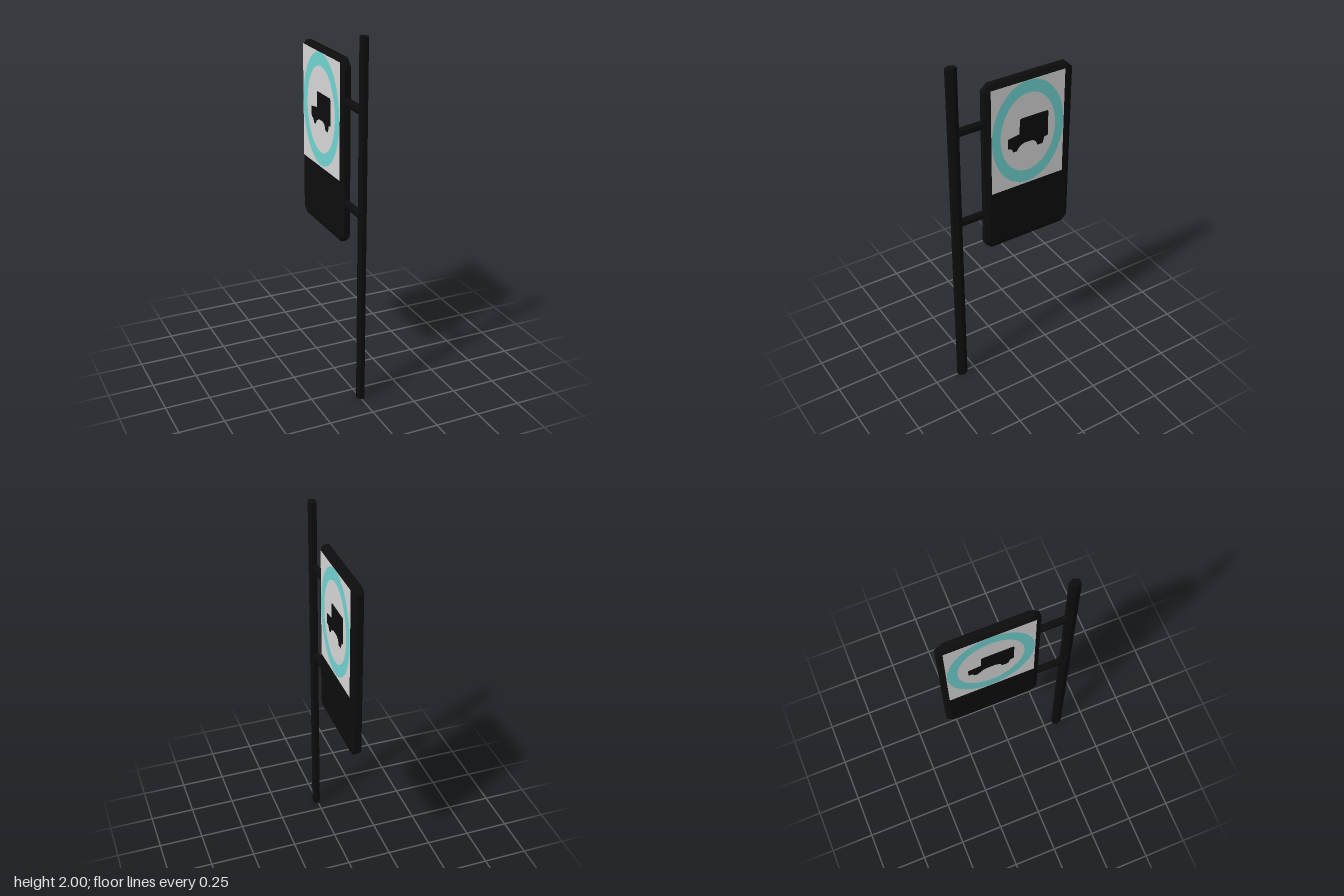
import * as THREE from 'three';

const material = (name, color) => {
  const m = new THREE.MeshStandardMaterial({ color });
  m.name = name;
  return m;
};

export function createModel() {
  const black = material('black metal', 0x0d0d0d);
  const white = material('sign white', 0xd9d9d9);
  const cyan = material('ring cyan', 0x72d6d4);
  const group = new THREE.Group();

  const add = (name, geometry, mat, parent = group) => {
    const mesh = new THREE.Mesh(geometry, mat);
    mesh.name = name;
    parent.add(mesh);
    return mesh;
  };
  const polygon = (points) => new THREE.Shape(points.map(([x, y]) => new THREE.Vector2(x, y)));
  const flat = (geometry) => {
    const g = geometry.toNonIndexed();
    g.computeVertexNormals();
    return g;
  };

  // Six-sided pole
  const pole = new THREE.CylinderGeometry(0.024, 0.024, 2, 6, 1, false, Math.PI / 6);
  pole.scale(1, 1, 1.33);
  pole.translate(0.005, 1, 0.333);
  add('pole', flat(pole), black);

  // Two arms that flare and shift where they meet the pole
  for (const y of [1.63, 1.078]) {
    const arm = new THREE.CylinderGeometry(1, 1, 1, 8, 2, false, Math.PI / 8);
    arm.rotateX(Math.PI / 2);
    const p = arm.attributes.position;
    for (let i = 0; i < p.count; i++) {
      const end = p.getZ(i) > 0.25;
      const z = end ? 0.325 : p.getZ(i) < -0.25 ? 0.14 : 0.29;
      p.setXYZ(i, p.getX(i) * (end ? 0.021 : 0.0175) + (end ? 0.004 : -0.0015),
        p.getY(i) * (end ? 0.029 : 0.025), z);
    }
    add(y > 1.3 ? 'upperArm' : 'lowerArm', flat(arm), black).position.y = y;
  }

  // Bevelled sign case with clipped corners
  const w = 0.2375, h = 0.474, c = 0.02;
  const caseShape = polygon([
    [-w + c, -h], [w - c, -h], [w, -h + c], [w, h - c],
    [w - c, h], [-w + c, h], [-w, h - c], [-w, -h + c],
  ]);
  const board = new THREE.ExtrudeGeometry(caseShape, {
    depth: 0.032, bevelEnabled: true, bevelSize: 0.025, bevelThickness: 0.0133, bevelSegments: 1,
  });
  board.translate(0, 0, -0.016);
  board.rotateY(Math.PI / 2);
  board.translate(-0.0005, 1.352, -0.098);
  add('signCase', board, black);

  // Van outline, in hundredths of a unit
  const van = polygon([
    [-12.2, -6.9], [-10, -7.4], [-9, -9.7], [-6.9, -9.7], [-5.3, -7.4], [-2.6, -6],
    [2.6, -6], [4.8, -7.4], [5.8, -10], [9, -10], [10, -6.4], [12.2, -5.8],
    [12.2, 8], [11.7, 9], [-4, 9], [-5, 8.5], [-5.3, 0], [-12.2, -1],
  ].map(([x, y]) => [x / 100, y / 100]));

  // Printed face on each side: white sheet, oval ring and van
  const addFace = (name, side, z, y, width, height) => {
    const face = new THREE.Group();
    face.name = name;
    face.position.set(-0.0005 + side * 0.0298, y, z);
    face.rotation.y = side * Math.PI / 2;
    group.add(face);
    add('sheet', new THREE.PlaneGeometry(width, height), white, face);
    const ring = new THREE.RingGeometry(0.765, 1, 48);
    ring.scale(width * 0.493, height * 0.491, 1);
    add('ring', ring, cyan, face).position.set(0, 0.006, 0.0008);
    add('van', new THREE.ShapeGeometry(van), black, face).position.set(0, 0.008, 0.0008);
  };
  addFace('leftFace', 1, -0.09, 1.516, 0.44, 0.615);
  addFace('rightFace', -1, -0.1, 1.516, 0.47, 0.63);

  return group;
}
